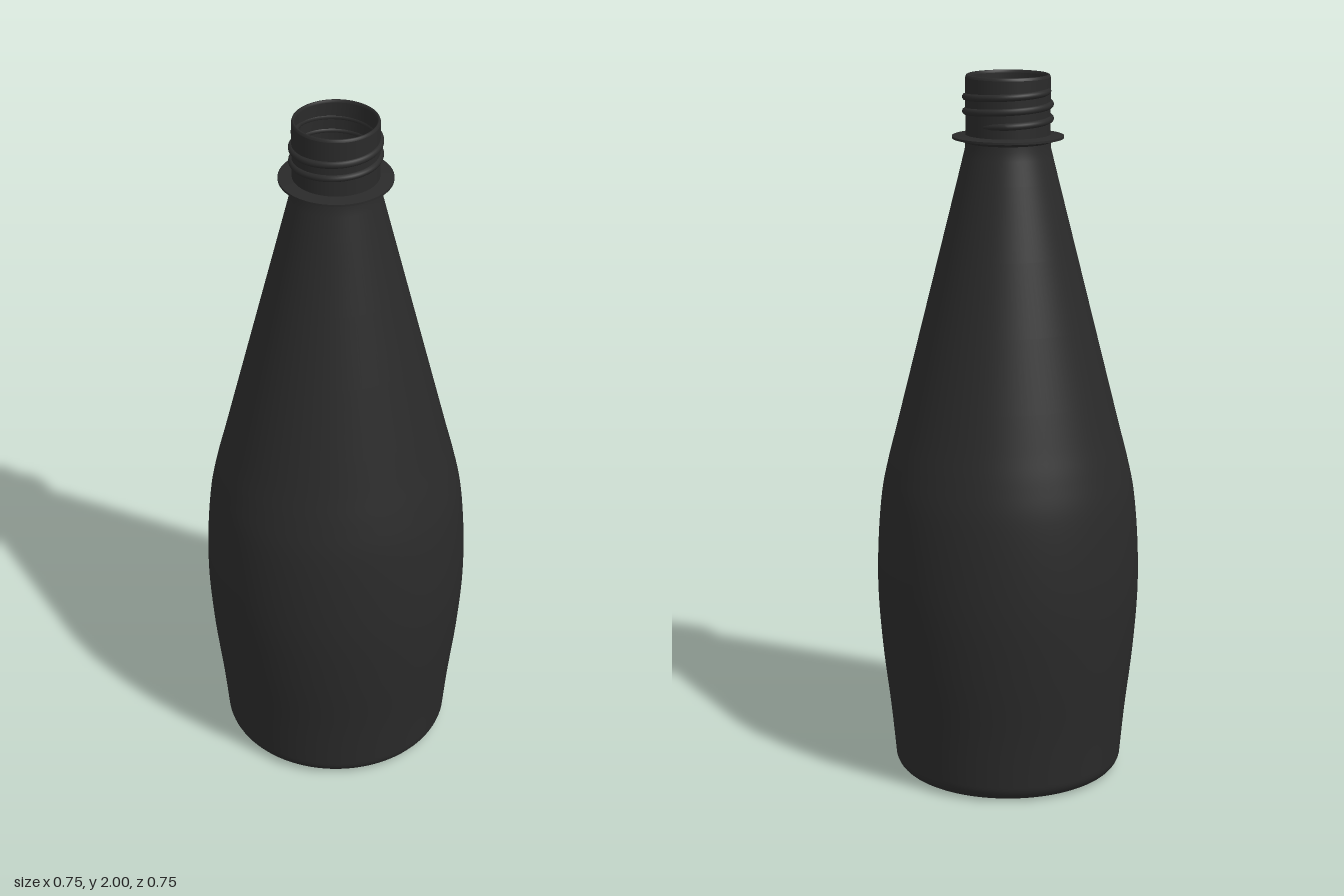
import * as THREE from 'three';

const SEGMENTS = 96;

// Revolve a list of [radius, height] pairs around the y axis
function revolve(name, points, material) {
  const geometry = new THREE.LatheGeometry(points.map(([r, y]) => new THREE.Vector2(r, y)), SEGMENTS);
  const mesh = new THREE.Mesh(geometry, material);
  mesh.name = name;
  return mesh;
}

// Sample a smooth curve through [radius, height] pairs
function smooth(points, count) {
  const curve = new THREE.SplineCurve(points.map(([r, y]) => new THREE.Vector2(r, y)));
  return curve.getPoints(count).map((p) => [p.x, p.y]);
}

// Helix whose ends sink into the neck
class ThreadCurve extends THREE.Curve {
  getPoint(t, target = new THREE.Vector3()) {
    const turns = 2.4;
    const angle = -t * turns * Math.PI * 2;
    const fade = Math.min(1, t / 0.05, (1 - t) / 0.05);
    const r = 0.105 + 0.011 * fade;
    return target.set(r * Math.cos(angle), 1.865 + t * 0.094, r * Math.sin(angle));
  }
}

export function createModel() {
  const bottle = new THREE.Group();
  bottle.name = 'bottle';
  const darkPlastic = new THREE.MeshStandardMaterial({ color: 0x2a2a2a });
  darkPlastic.name = 'dark plastic';

  // Hollow underside curving into the rounded foot
  const underside = smooth([[0, 0.06], [0.1, 0.053], [0.2, 0.031], [0.275, 0.001]], 20);
  bottle.add(revolve('underside', underside, darkPlastic));
  const foot = [[0.275, 0.001], [0.284, 0]];
  for (let i = 1; i <= 8; i++) {
    const a = (i / 8) * Math.PI / 2;
    foot.push([0.284 + 0.042 * Math.sin(a), 0.045 - 0.045 * Math.cos(a)]);
  }

  // Swelling body and long straight shoulder
  const belly = smooth([
    [0.326, 0.045], [0.339, 0.18], [0.36, 0.36], [0.372, 0.53], [0.37, 0.68],
    [0.358, 0.82], [0.338, 0.92], [0.315, 1.01], [0.29, 1.11],
  ], 48);
  const shoulder = [[0.24, 1.31], [0.19, 1.51], [0.14, 1.71], [0.124, 1.775], [0.118, 1.8], [0.117, 1.825]];
  bottle.add(revolve('body', [...foot, ...belly.slice(1), ...shoulder], darkPlastic));

  // Straight neck finish, lip and inner wall
  bottle.add(revolve('neck', [[0.117, 1.82], [0.117, 1.992]], darkPlastic));
  bottle.add(revolve('lip', [[0.117, 1.992], [0.115, 1.998], [0.112, 2], [0.109, 1.998], [0.108, 1.992]], darkPlastic));
  const inner = belly.slice(1).reverse().map(([r, y]) => [r - 0.01, y]);
  bottle.add(revolve('innerWall', [
    [0.108, 1.992], [0.108, 1.8], [0.13, 1.71], [0.23, 1.31], ...inner, [0.3, 0.03], [0.275, 0.011],
  ], darkPlastic));
  bottle.add(revolve('innerFloor', underside.map(([r, y]) => [r, y + 0.01]).reverse(), darkPlastic));

  // Support collar: one lathe per face keeps its edges crisp
  const collar = new THREE.Group();
  collar.name = 'collar';
  collar.add(
    revolve('collarStep', [[0.117, 1.815], [0.13, 1.819], [0.136, 1.825]], darkPlastic),
    revolve('collarUnderside', [[0.13, 1.824], [0.154, 1.826]], darkPlastic),
    revolve('collarEdge', [[0.154, 1.826], [0.154, 1.832]], darkPlastic),
    revolve('collarTop', [[0.154, 1.832], [0.117, 1.836]], darkPlastic),
  );
  bottle.add(collar);

  // Screw thread
  const thread = new THREE.Mesh(new THREE.TubeGeometry(new ThreadCurve(), 200, 0.01, 10), darkPlastic);
  thread.name = 'screwThread';
  bottle.add(thread);

  return bottle;
}
